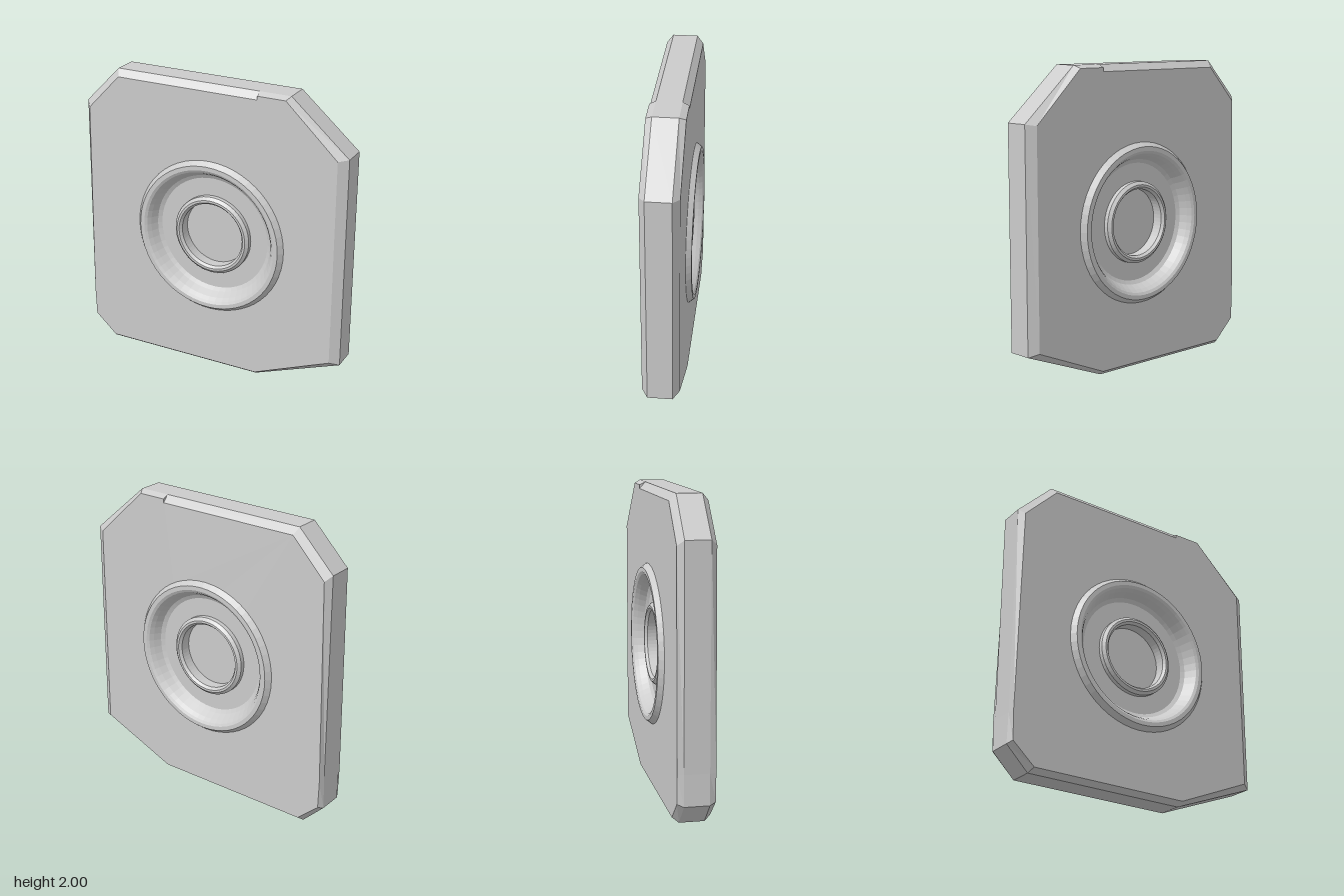
import * as THREE from 'three';

const CENTER_Y = 0.963;
const HOLE_R = 0.52;
const EDGE_Z = 0.08, FACE_Z = 0.12;

// Plate outline, counter-clockwise: [outer x, outer y, face x, face y]
const OUTLINE = [
  [0.33, 0, 0.34, 0.03],
  [0.93, 0.23, 0.87, 0.25],
  [0.93, 1.66, 0.87, 1.65],
  [0.54, 2, 0.52, 1.98],
  [0.33, 2, 0.33, 1.98],
  [0.33, 2, 0.33, 1.955],
  [-0.68, 2, -0.66, 1.955],
  [-0.925, 1.75, -0.89, 1.715],
  [-0.925, 0.35, -0.915, 0.35],
  [-0.93, 0.15, -0.91, 0.165],
  [-0.78, 0, -0.76, 0.03],
];

const makeMaterial = () => new THREE.MeshStandardMaterial({ color: 0xcccccc, flatShading: true });

// Rim and chamfers: four loops of the outline from back to front
function rimGeometry() {
  const loops = [
    OUTLINE.map((p) => [p[2], p[3], -FACE_Z]),
    OUTLINE.map((p) => [p[0], p[1], -EDGE_Z]),
    OUTLINE.map((p) => [p[0], p[1], EDGE_Z]),
    OUTLINE.map((p) => [p[2], p[3], FACE_Z]),
  ];
  const n = OUTLINE.length;
  const positions = [];
  for (let k = 0; k < 3; k++) {
    for (let i = 0; i < n; i++) {
      const j = (i + 1) % n;
      const a = loops[k][i], b = loops[k][j], c = loops[k + 1][j], d = loops[k + 1][i];
      positions.push(...a, ...b, ...c, ...a, ...c, ...d);
    }
  }
  const geometry = new THREE.BufferGeometry();
  geometry.setAttribute('position', new THREE.Float32BufferAttribute(positions, 3));
  geometry.computeVertexNormals();
  return geometry;
}

// Flat face with a round opening; the back one is mirrored in x so it can be turned round
function faceGeometry(side) {
  let points = OUTLINE.map((p) => new THREE.Vector2(side * p[2], p[3]));
  if (side < 0) points.reverse();
  const shape = new THREE.Shape(points);
  const hole = new THREE.Path();
  hole.absarc(0, CENTER_Y, HOLE_R, 0, Math.PI * 2, true);
  shape.holes.push(hole);
  return new THREE.ShapeGeometry(shape, 48);
}

// Turned hub: raised rim, dished basin, inner boss and recessed centre, the same on both sides
function hubGeometry() {
  const half = [
    [0, 0.02], [0.22, 0.02], [0.22, 0.09], [0.235, 0.108], [0.25, 0.108],
    [0.27, 0.09], [0.27, 0.06], [0.39, 0.06], [0.415, 0.075], [0.44, 0.12],
    [0.458, 0.145], [0.475, 0.155], [0.503, 0.155], [0.53, 0.12], [0.53, 0.1],
  ];
  const profile = [
    ...half.map(([r, z]) => new THREE.Vector2(r, -z)),
    ...half.slice().reverse().map(([r, z]) => new THREE.Vector2(r, z)),
  ];
  return new THREE.LatheGeometry(profile, 56).rotateX(Math.PI / 2);
}

export function createModel() {
  const model = new THREE.Group();
  model.name = 'plateWithHub';
  const material = makeMaterial();
  const add = (name, geometry) => {
    const mesh = new THREE.Mesh(geometry, material);
    mesh.name = name;
    model.add(mesh);
    return mesh;
  };

  add('plateRim', rimGeometry());
  add('plateFrontFace', faceGeometry(1)).position.z = FACE_Z;
  const back = add('plateBackFace', faceGeometry(-1));
  back.rotation.y = Math.PI;
  back.position.z = -FACE_Z;
  add('hub', hubGeometry()).position.y = CENTER_Y;

  return model;
}
